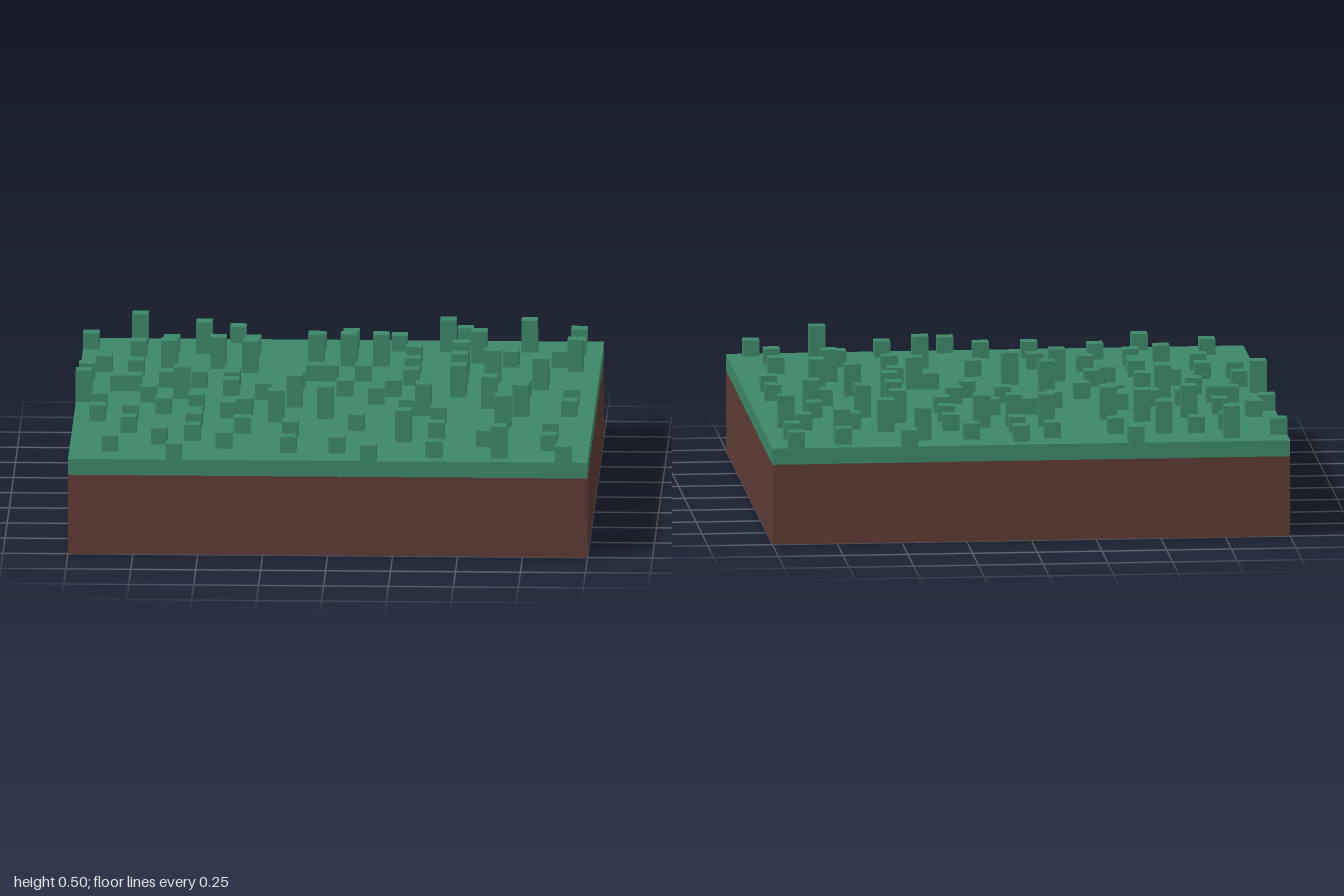
import * as THREE from 'three';

const V = 2 / 32; // one cell of the 32 x 32 grid

// Grass tufts: one line per grid row from back to front, listing columns; * marks a tall tuft
const TUFT_ROWS = [
  '9 23 30', '3* 16 27', '0 14 19 22* 27*', '5 7* 10 30',
  '3 16', '20 24*', '14* 16* 18* 26 29', '8* 30*',
  '1 5* 10* 20 23*', '3', '0 14 15 17 25* 28', '9 20 23*',
  '5 7 9 13 28*', '2 3', '9 16 19 23* 27', '6* 11',
  '0* 4 18 30', '13* 25*', '1 7', '5 10 20 21* 27* 30',
  '9 15*', '1 3 12* 22', '7 26*', '7 17',
  '3 10', '13 22 29', '7 20*', '5 25',
  '9 29', '2 13 16', '22 26*', '6 18 30',
];

export function createModel() {
  const model = new THREE.Group();
  model.name = 'grassBlock';

  const grass = new THREE.MeshStandardMaterial({ color: 0x3c8768 });
  grass.name = 'grass green';
  const soil = new THREE.MeshStandardMaterial({ color: 0x5e3a33 });
  soil.name = 'soil brown';

  // Adds a box standing on height y
  function addBox(parent, name, geometry, material, x, y, z) {
    const mesh = new THREE.Mesh(geometry, material);
    mesh.name = name;
    mesh.position.set(x, y, z);
    parent.add(mesh);
  }
  const standingBox = (w, h, d) => new THREE.BoxGeometry(w, h, d).translate(0, h / 2, 0);

  // Ground layers
  addBox(model, 'soilLayer', standingBox(2, 5 * V, 2), soil, 0, 0, 0);
  addBox(model, 'turfLayer', standingBox(2, V, 2), grass, 0, 5 * V, 0);

  // Tufts, one or two cells high
  const tufts = new THREE.Group();
  tufts.name = 'grassTufts';
  model.add(tufts);
  const shortTuft = standingBox(V, V, V);
  const tallTuft = standingBox(V, 2 * V, V);
  TUFT_ROWS.forEach((line, row) => {
    for (const entry of line.split(' ')) {
      const tall = entry.endsWith('*');
      const x = (parseInt(entry, 10) + 0.5) * V - 1;
      const z = (row + 0.5) * V - 1;
      addBox(tufts, tall ? 'tallTuft' : 'shortTuft', tall ? tallTuft : shortTuft, grass, x, 6 * V, z);
    }
  });

  return model;
}
